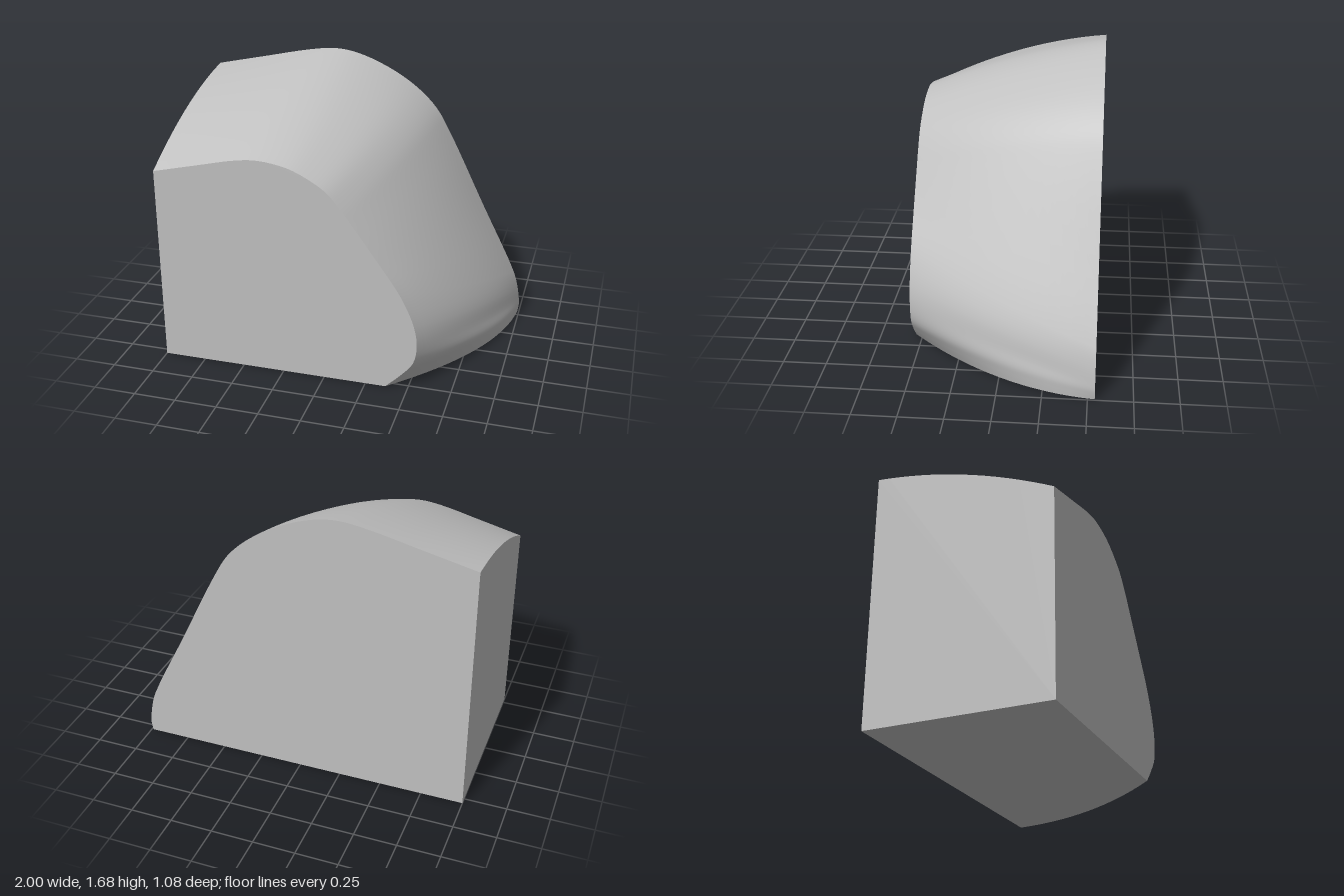
import * as THREE from 'three';

const DEPTH = 0.54; // half depth
const ROWS = 16, COLS = 60;

// Paired profile stations: back x, back y, front x, front y, mid-depth bulge x, bulge y
const STATIONS = [
  [-1, 1.52, -1, 1.2, 0, 0.055],
  [-0.7, 1.588, -0.75, 1.26, 0, 0.045],
  [-0.4, 1.655, -0.5, 1.318, 0, 0.035],
  [-0.24, 1.676, -0.37, 1.33, 0, 0.03],
  [-0.1, 1.66, -0.2, 1.303, 0.01, 0.03],
  [0.1, 1.585, -0.08, 1.25, 0.02, 0.03],
  [0.28, 1.475, 0.02, 1.185, 0.03, 0.03],
  [0.41, 1.35, 0.1, 1.095, 0.035, 0.03],
  [0.5, 1.2, 0.17, 1.0, 0.04, 0.025],
  [0.73, 0.735, 0.31, 0.805, 0.05, 0.02],
  [0.95, 0.29, 0.45, 0.6, 0.055, 0],
  [0.98, 0.19, 0.53, 0.42, 0.055, 0],
  [0.995, 0.1, 0.55, 0.29, 0.055, 0],
  [0.998, 0.06, 0.53, 0.18, 0.075, 0],
  [0.995, 0.03, 0.46, 0.09, 0.1, 0],
  [0.99, 0, 0.37, 0, 0.13, 0],
];

// Outline of the block at depth parameter t (0 = back, 1 = front)
function section(t) {
  const bulge = 4 * t * (1 - t);
  const points = STATIONS.map(([bx, by, fx, fy, dx, dy]) => new THREE.Vector3(
    bx + (fx - bx) * t + dx * bulge,
    by + (fy - by) * t + dy * bulge,
    -DEPTH + 2 * DEPTH * t));
  return new THREE.CatmullRomCurve3(points, false, 'centripetal').getPoints(COLS);
}

// Flat wall filling an outline; place() maps the drawn 2D point to 3D
function wall(outline, place) {
  const geometry = new THREE.ShapeGeometry(new THREE.Shape(outline));
  const pos = geometry.attributes.position;
  for (let i = 0; i < pos.count; i++) {
    pos.setXYZ(i, ...place(pos.getX(i), pos.getY(i)));
  }
  geometry.computeVertexNormals();
  return geometry;
}

export function createModel() {
  const model = new THREE.Group();
  model.name = 'curvedBlock';
  const grey = new THREE.MeshStandardMaterial({ color: 0xc0c0c0 });
  grey.name = 'light grey';
  const add = (name, geometry) => {
    const mesh = new THREE.Mesh(geometry, grey);
    mesh.name = name;
    model.add(mesh);
  };

  const rows = [];
  for (let j = 0; j <= ROWS; j++) rows.push(section(j / ROWS));

  // Curved skin lofted from back outline to front outline
  const positions = [], index = [];
  const stride = COLS + 1;
  rows.forEach((row, j) => row.forEach((p, i) => {
    positions.push(p.x, p.y, p.z);
    if (j < ROWS && i < COLS) {
      const a = j * stride + i, b = a + 1, c = a + stride, d = c + 1;
      index.push(a, c, b, b, c, d);
    }
  }));
  const skin = new THREE.BufferGeometry();
  skin.setAttribute('position', new THREE.Float32BufferAttribute(positions, 3));
  skin.setIndex(index);
  skin.computeVertexNormals();
  add('curvedSkin', skin);

  // Flat front and back walls
  const v2 = (x, y) => new THREE.Vector2(x, y);
  const front = rows[ROWS].map((p) => v2(p.x, p.y));
  add('frontWall', wall([v2(-1, 0), ...front], (x, y) => [x, y, DEPTH]));
  const back = rows[0].map((p) => v2(-p.x, p.y));
  add('backWall', wall([v2(1, 0), ...back], (x, y) => [-x, y, -DEPTH]));

  // Flat side wall, drawn in (z, y)
  const sideEdge = rows.map((row) => v2(row[0].z, row[0].y));
  add('sideWall', wall([v2(-DEPTH, 0), ...sideEdge, v2(DEPTH, 0)], (z, y) => [-1, y, z]));

  // Flat base, drawn in (x, z)
  const baseEdge = rows.map((row) => v2(row[COLS].x, row[COLS].z));
  add('base', wall([v2(-1, -DEPTH), ...baseEdge, v2(-1, DEPTH)], (x, z) => [x, 0, z]));

  return model;
}
